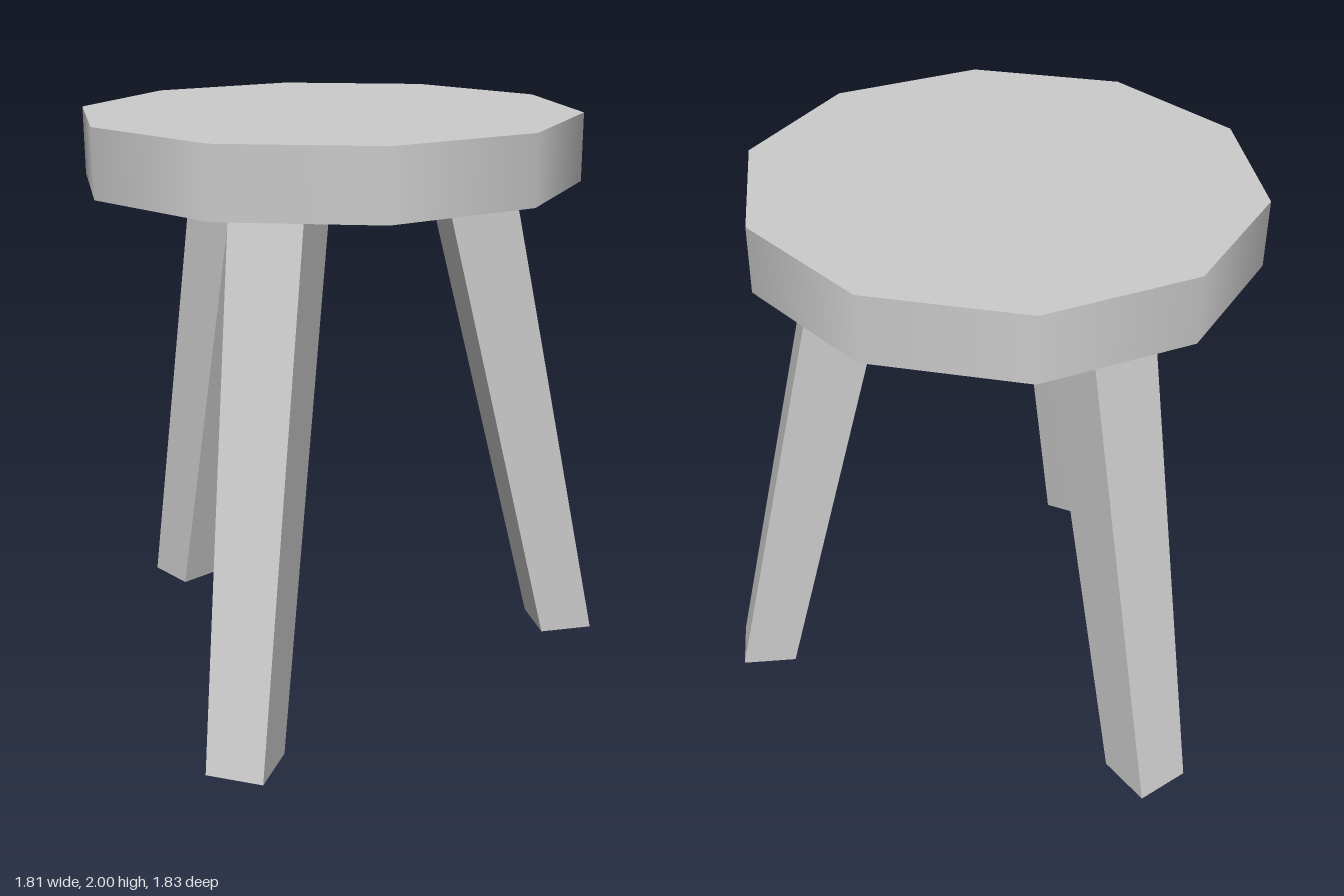
import * as THREE from 'three';

const SEAT_BOTTOM = 1.77;
const SEAT_TOP = 2;
const SEAT_RADIUS = 0.855;

// Square leg: tapers towards the floor and splays outwards along +x
function legGeometry() {
  const geo = new THREE.BoxGeometry(1, SEAT_BOTTOM, 1);
  geo.translate(0, SEAT_BOTTOM / 2, 0);
  const pos = geo.attributes.position;
  for (let i = 0; i < pos.count; i++) {
    const t = pos.getY(i) / SEAT_BOTTOM; // 0 at the floor, 1 under the seat
    const width = THREE.MathUtils.lerp(0.197, 0.25, t);
    const reach = THREE.MathUtils.lerp(0.9, 0.495, t);
    pos.setX(i, pos.getX(i) * width + reach);
    pos.setZ(i, pos.getZ(i) * width);
  }
  geo.computeVertexNormals();
  return geo;
}

export function createModel() {
  const stool = new THREE.Group();
  stool.name = 'stool';
  const material = new THREE.MeshStandardMaterial({ color: 0xcccccc });

  // Ten-sided seat with smooth-shaded rim
  const seat = new THREE.Mesh(
    new THREE.CylinderGeometry(SEAT_RADIUS, SEAT_RADIUS, SEAT_TOP - SEAT_BOTTOM, 10),
    material
  );
  seat.name = 'seat';
  seat.position.y = (SEAT_TOP + SEAT_BOTTOM) / 2;
  stool.add(seat);

  // Three legs, evenly spaced around the seat axis
  const geo = legGeometry();
  ['leftLeg', 'backRightLeg', 'frontRightLeg'].forEach((name, i) => {
    const leg = new THREE.Mesh(geo, material);
    leg.name = name;
    leg.rotation.y = (i * Math.PI * 2) / 3;
    stool.add(leg);
  });

  // Shift the seat axis so the leg spread is centred on x = 0
  stool.children.forEach((part) => { part.position.x = -0.095; });
  return stool;
}
